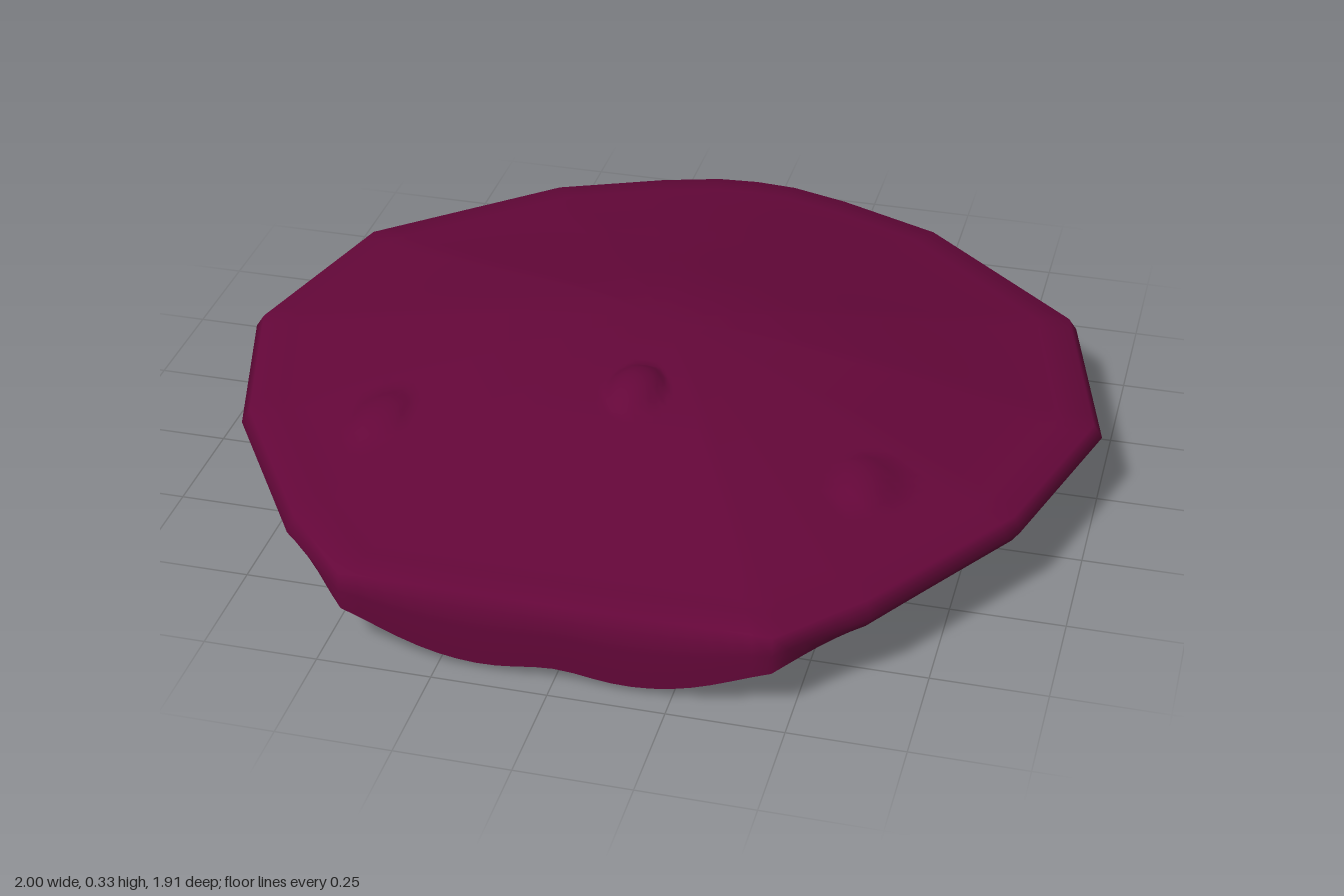
import * as THREE from 'three';

const { lerp, smoothstep } = THREE.MathUtils;

const plum = new THREE.MeshStandardMaterial({ color: 0x640739 });
plum.name = 'plum skin';
const tan = new THREE.MeshStandardMaterial({ color: 0xdec8a4 });
tan.name = 'tan underside';

// right half of the angular outline, back to front, as [x, z]
const half = [[0, -0.96], [0.1, -0.952], [0.24, -0.91], [0.49, -0.805], [0.88, -0.46],
  [1, 0], [0.88, 0.41], [0.63, 0.795], [0.46, 0.953], [0, 0.955]];

// full outline, each edge subdivided evenly
function makeOutline() {
  const corners = [...half, ...half.slice(1, -1).reverse().map(([x, z]) => [-x, z])];
  const points = [];
  corners.forEach(([x, z], i) => {
    const [nx, nz] = corners[(i + 1) % corners.length];
    const steps = Math.ceil(Math.hypot(nx - x, nz - z) / 0.045);
    for (let k = 0; k < steps; k++) {
      points.push([lerp(x, nx, k / steps), lerp(z, nz, k / steps)]);
    }
  });
  return points;
}

// keel under the front that opens into two low lobes at the lip
function droop(x, z) {
  const keel = 0.115 * Math.exp(-((x / 0.32) ** 2));
  const lip = 0.12 * Math.exp(-((x / 0.42) ** 4)) - 0.02 * Math.exp(-((x / 0.1) ** 2));
  return lerp(keel, lip, smoothstep(z, 0.72, 0.95)) * smoothstep(z, 0.3, 0.85);
}

// small oval knobs: one in the middle, one on each side
function knobs(x, z) {
  const dome = (cx, cz, a, b, h) => {
    const q = ((x - cx) / a) ** 2 + ((z - cz) / b) ** 2;
    return h * Math.pow(Math.max(0, 1 - q), 0.8);
  };
  return dome(0, 0.28, 0.065, 0.09, 0.028)
    + dome(0.55, 0.42, 0.07, 0.1, 0.02) + dome(-0.55, 0.42, 0.07, 0.1, 0.02);
}

// rounded dome that straightens into a cone toward the back
function swell(t, z) {
  const s = Math.min(1, t / 0.98);
  const dome = Math.pow(1 - s * s, 1.5);
  return 0.13 * lerp(dome, 1 - s, 0.6 * smoothstep(-z, 0, 0.5));
}

const upper = (x, z, t) => 0.205 + swell(t, z) + knobs(x, z);
const edge = (x, z) => 0.175 - 0.5 * droop(x, z);
const lower = (x, z, t) => 0.145 - swell(t, z) - 0.4 * knobs(x, z) - droop(x, z);

// rim bevel (nearly upright at the front lip) and colour seam, as scales of the outline
const rim = (x, z) => lerp(0.98, 0.997, smoothstep(z, 0.8, 0.95));
const seam = (x, z) => Math.min(rim(x, z), 0.997 - 0.13 * smoothstep(-z, -0.95, 0.5));
const part = (scale, k) => (x, z) => scale(x, z) * k;

// joins scaled copies of the outline; each ring is [scale function, height function],
// and a ring may be replaced by a single centre point when its scale is null
function ringSurface(outline, rings) {
  const n = outline.length, position = [], index = [], starts = [];
  for (const [scale, height] of rings) {
    starts.push(position.length / 3);
    if (!scale) position.push(0, height(0, 0, 0), 0);
    else for (const [x, z] of outline) {
      const t = scale(x, z);
      position.push(x * t, height(x * t, z * t, t), z * t);
    }
  }
  for (let r = 0; r < rings.length - 1; r++) {
    const a = starts[r], b = starts[r + 1];
    for (let i = 0; i < n; i++) {
      const j = (i + 1) % n;
      if (!rings[r][0]) index.push(a, b + j, b + i);
      else if (!rings[r + 1][0]) index.push(a + i, a + j, b);
      else index.push(a + i, a + j, b + i, a + j, b + j, b + i);
    }
  }
  const geometry = new THREE.BufferGeometry();
  geometry.setAttribute('position', new THREE.Float32BufferAttribute(position, 3));
  geometry.setIndex(index);
  geometry.computeVertexNormals();
  return geometry;
}

export function createModel() {
  const group = new THREE.Group();
  group.name = 'flatDisc';
  const outline = makeOutline();
  const steps = 46;

  // upper skin, wrapped round the rim to the seam underneath
  const skin = [[null, upper]];
  for (let i = 1; i <= steps; i++) skin.push([part(rim, 0.92 * i / steps), upper]);
  skin.push([rim, upper], [() => 1, edge], [rim, lower], [seam, lower]);
  const top = new THREE.Mesh(ringSurface(outline, skin), plum);
  top.name = 'upperSkinAndRim';
  group.add(top);

  // underside, from the seam to the middle
  const belly = [];
  for (let i = steps; i >= 1; i--) belly.push([part(seam, i / steps), lower]);
  belly.push([null, lower]);
  const bottom = new THREE.Mesh(ringSurface(outline, belly), tan);
  bottom.name = 'underside';
  group.add(bottom);

  return group;
}
